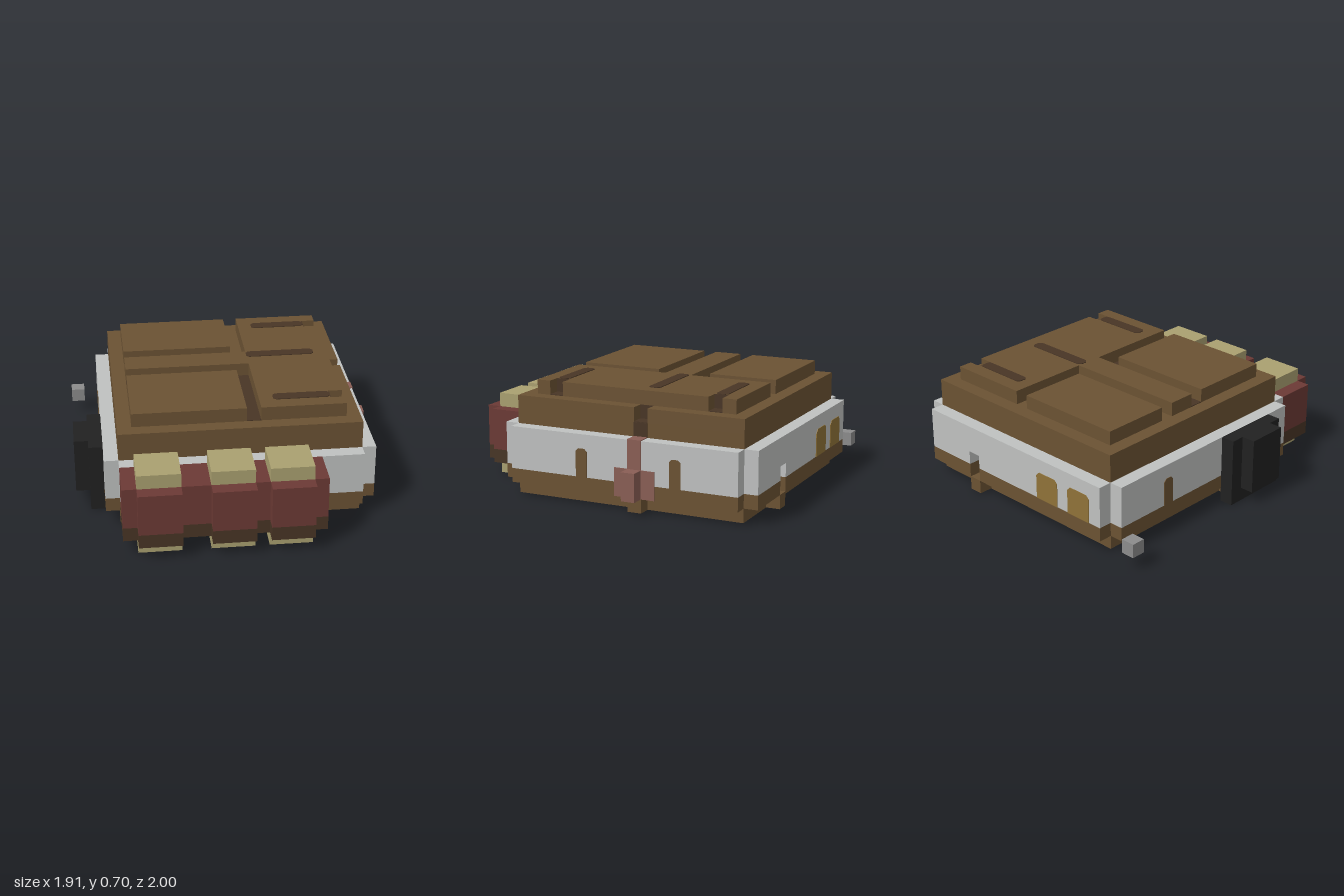
import * as THREE from 'three';

const U = 2 / 23; // one block
const T = 0.05;   // thickness of painted plates, in blocks

export function createModel() {
  const model = new THREE.Group();
  const mat = (name, color) => {
    const m = new THREE.MeshStandardMaterial({ color });
    m.name = name;
    return m;
  };
  const brown = mat('brown', 0x6b5233), dark = mat('dark brown', 0x483525);
  const grey = mat('light grey', 0xbfc1c0), steel = mat('mid grey', 0x8c8c8c);
  const red = mat('dark red', 0x6c3a35), straw = mat('straw', 0xaaa070);
  const black = mat('black', 0x212121), pink = mat('dusty pink', 0x8a5e55);
  const ochre = mat('ochre', 0x8f7238);

  const add = (name, geometry, material) => {
    const mesh = new THREE.Mesh(geometry, material);
    mesh.name = name;
    model.add(mesh);
    return mesh;
  };
  // box from its limits, in blocks
  const box = (name, m, x0, x1, y0, y1, z0, z1) => {
    const g = new THREE.BoxGeometry((x1 - x0) * U, (y1 - y0) * U, (z1 - z0) * U);
    g.translate((x0 + x1) / 2 * U, (y0 + y1) / 2 * U, (z0 + z1) / 2 * U);
    return add(name, g, m);
  };
  const extrude = (pts, depth) => new THREE.ExtrudeGeometry(
    new THREE.Shape(pts.map(([a, b]) => new THREE.Vector2(a * U, b * U))),
    { depth: depth * U, bevelEnabled: false });
  // upright prism over an outline of x, z points
  const prism = (name, m, pts, y0, y1) => {
    const g = extrude(pts.map(([x, z]) => [x, -z]), y1 - y0);
    g.rotateX(-Math.PI / 2).translate(0, y0 * U, 0);
    return add(name, g, m);
  };
  // rectangle with cut corners
  const cut = (a0, a1, b0, b1, c, d = c) => [
    [a0 + c, b0], [a1 - c, b0], [a1, b0 + c], [a1, b1 - d],
    [a1 - d, b1], [a0 + d, b1], [a0, b1 - d], [a0, b0 + c]];

  // base and walls: a cross-shaped outline, with a slot in the back
  const cross = slot => [
    [-8, -11.5],
    ...(slot ? [[4, -11.5], [4, -10.5], [5, -10.5], [5, -11.5]] : []),
    [9, -11.5], [9, -10.5], [10, -10.5], [10, 6.5], [9, 6.5],
    [9, 7.5], [-8, 7.5], [-8, 6.5], [-9, 6.5], [-9, -10.5], [-8, -10.5]];
  box('basePlate', brown, -8, 9, 0, 1, -10.5, 6.5);
  box('baseFootBack', brown, 4, 5, 0, 1, -11.5, -10.5);
  box('baseFootRight', brown, 9, 10, 0, 1, -3.5, -2.5);
  box('baseFootFront', brown, -2, 1, 0, 1, 6.5, 7.5);
  box('baseFootLeft', brown, -9, -8, 0, 1, 0.5, 3.5);
  prism('lowerWall', brown, cross(true), 1, 2);
  prism('slottedWall', grey, cross(true), 2, 3);
  prism('upperWall', grey, cross(false), 3, 5);
  prism('bottomPanel', grey, cut(-6, 7, -1.5, 3.5, 0.4), -T, 0.02).position.y = 0.002;

  // roof with a notch on one side
  box('roofLower', brown, -8, 9, 5, 6, -10.5, 6.5);
  prism('roofUpper', brown, [[-8, -10.5], [9, -10.5], [9, -3.5], [8, -3.5],
    [8, -2.5], [9, -2.5], [9, 6.5], [-8, 6.5]], 6, 7);
  box('roofNotchFloor', dark, 8, 9, 6, 6 + T, -3.5, -2.5);
  box('roofNotchBack', dark, 8, 8 + T, 6, 7, -3.5, -2.5);
  box('roofStripe', dark, 9, 9 + T, 5, 6, -3.5, -2.5);

  // raised roof panels and the channel between them
  box('rearRoofPanel', brown, -7, 1, 7, 8, -9.5, -4.5);
  box('frontRoofPanel', brown, -7, 1, 7, 8, -0.5, 5.5);
  prism('mainRoofPanel', brown, [
    [2, -9.5], [8, -9.5], [8, -8.5], [7, -8.5], [7, -7.5], [8, -7.5],
    [8, 3.5], [7, 3.5], [7, 4.5], [8, 4.5], [8, 5.5], [2, 5.5],
    [2, -1.5], [-7, -1.5], [-7, -3.5], [2, -3.5]], 7, 8);
  prism('roofChannel', dark, [[-7, -1.5], [2, -1.5], [2, 5.5], [1, 5.5],
    [1, -0.5], [-7, -0.5]], 7, 7 + T);
  for (const z of [-8.5, 3.5]) {
    prism('roofSlot', dark, cut(3, 7, z + 0.08, z + 0.92, 0.2), 8, 8 + T);
    box('panelNotchFloor', dark, 7, 8, 7, 7 + T, z, z + 1);
    box('panelNotchBack', dark, 7, 7 + T, 7, 8, z, z + 1);
  }
  prism('middleRoofSlot', dark, cut(2, 7, -3.42, -2.58, 0.2), 8, 8 + T);

  // narrow side windows
  for (const [x, z] of [[10, 0.5], [10, -6.5], [-9 - T, -6.5]]) {
    const g = extrude(cut(-z - 0.92, -z - 0.08, 2, 4, 0, 0.2), T);
    g.rotateY(Math.PI / 2).translate(x * U, 0, 0);
    add('sideWindow', g, brown);
  }
  // back windows
  for (const x of [-7, -4]) {
    const g = extrude(cut(x, x + 2, 2, 4, 0, 0.25), T);
    g.translate(0, 0, -11.5 * U);
    add('backWindow', g, ochre).position.z = -T * U * 0.9;
  }

  // side fitting
  box('fittingPlate', pink, 10, 10 + T, 1, 3, -4.5, -1.5);
  box('fittingColumn', pink, 10, 10 + T, 3, 5, -3.5, -2.5);
  box('fittingTop', pink, 9, 10 + T, 5, 5 + T, -3.5, -2.5);
  box('fittingBlock', pink, 10, 11, 1, 3, -3.5, -2.5);

  // row of front canisters in a red holder
  box('holder', red, -8, 6, 2, 5, 7.5, 10.5);
  box('holderBase', dark, -8, 6, 1, 2, 7.5, 10.5);
  for (const x of [-7, -2, 2]) {
    box('canisterTop', straw, x, x + 3, 5, 6, 7.5, 10.5);
    box('canisterBottom', straw, x, x + 3, 0, 1, 7.5, 10.5);
    box('holderFront', red, x, x + 3, 2, 5, 10.5, 11.5);
    box('holderFrontBase', dark, x, x + 3, 1, 2, 10.5, 11.5);
  }

  // black side unit and the loose block at the back corner
  box('sideUnitInner', black, -10, -9, 0, 5, -0.5, 4.5);
  box('sideUnitOuter', black, -11, -10, 1, 5, 0.5, 3.5);
  box('cornerBlock', steel, -11, -10, 1, 2, -11.5, -10.5);

  return model;
}
